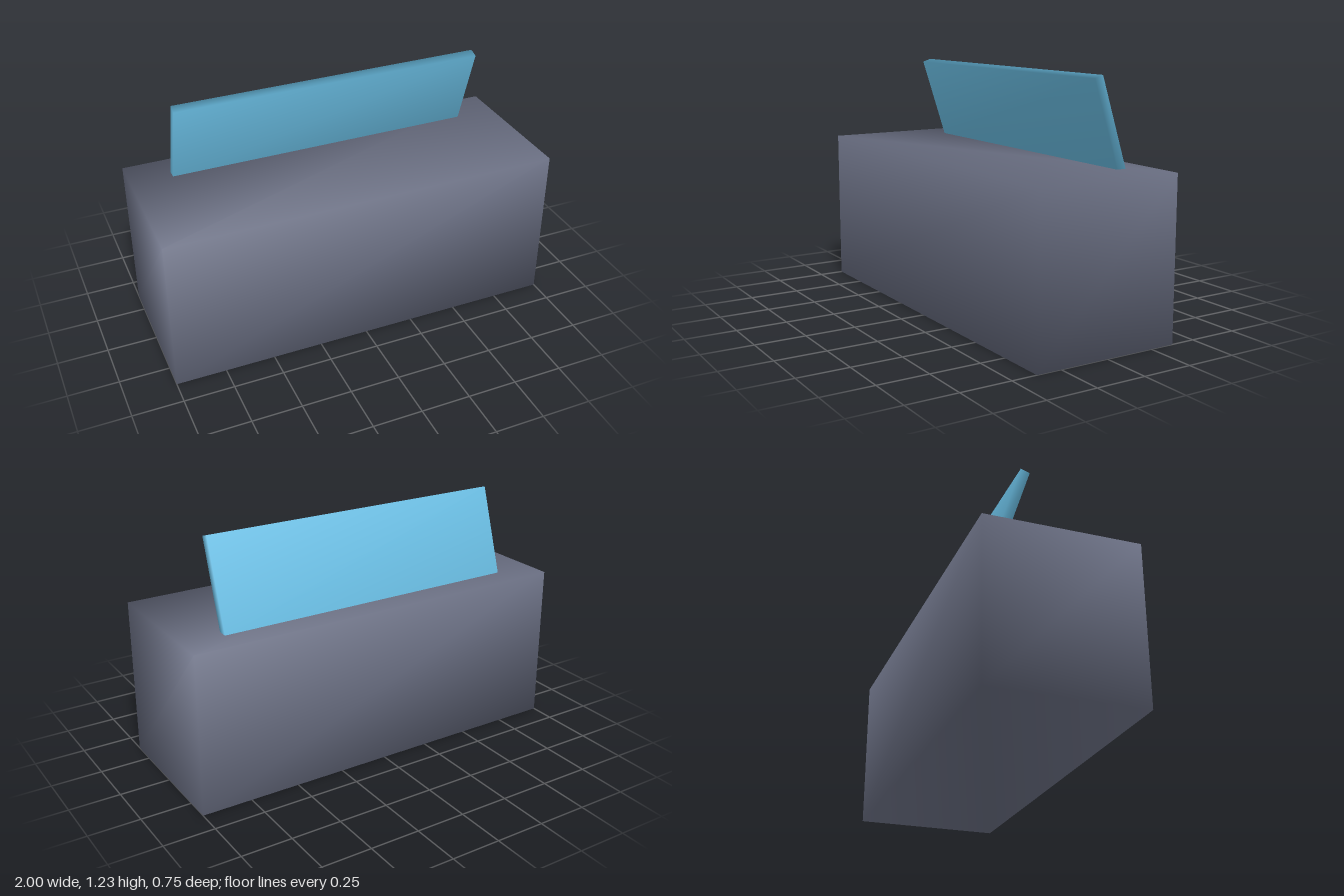
import * as THREE from 'three';
import { mergeVertices } from 'three/addons/utils/BufferGeometryUtils.js';

const material = (name, color) => {
  const m = new THREE.MeshStandardMaterial({ color });
  m.name = name;
  return m;
};

// Box with shared corners, so its shading runs smoothly around the edges
function smoothBox(width, height, depth) {
  const box = new THREE.BoxGeometry(width, height, depth);
  box.deleteAttribute('normal');
  box.deleteAttribute('uv');
  const merged = mergeVertices(box);
  merged.clearGroups();
  merged.computeVertexNormals();
  return merged;
}

export function createModel() {
  const model = new THREE.Group();
  const slate = material('slate grey', 0x6b7084);
  const blue = material('sky blue', 0x6bc0e6);

  // Solid block standing on the ground
  const base = new THREE.Mesh(smoothBox(2, 0.795, 0.75), slate);
  base.name = 'base';
  base.position.y = 0.3975;

  // Thin panel leaning forward, its lower edge set into the block
  const panel = new THREE.Mesh(smoothBox(1.58, 0.46, 0.047), blue);
  panel.name = 'tiltedPanel';
  panel.position.set(0, 0.999, -0.159);
  panel.rotation.x = Math.PI / 10;

  model.add(base, panel);
  return model;
}
